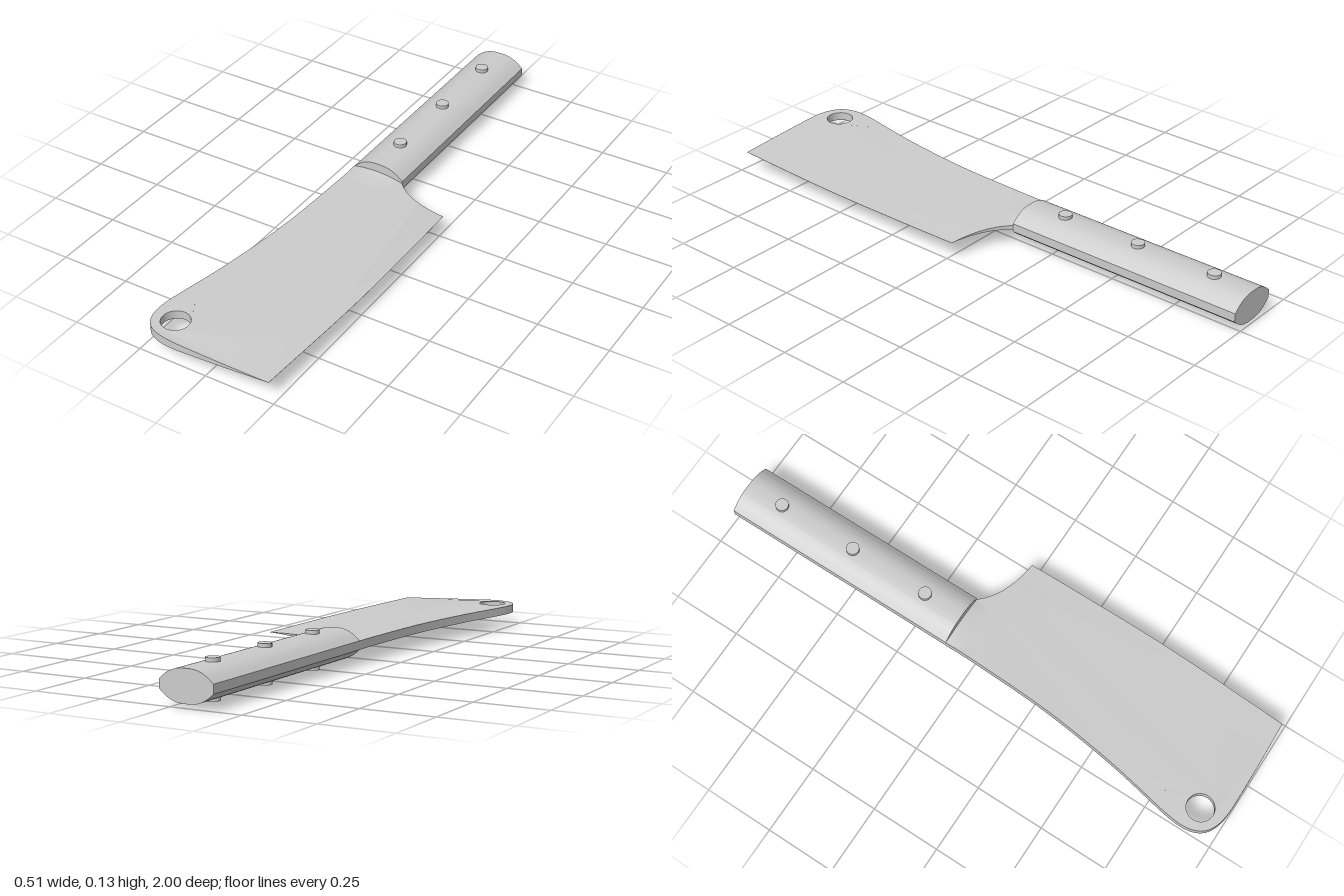
import * as THREE from 'three';
import { toCreasedNormals } from 'three/addons/utils/BufferGeometryUtils.js';

const MID = 0.067; // height of the blade's middle plane
const HANDLE_X = -0.058, HANDLE_FRONT = -0.11;

// Half thickness of the blade: full at the spine, zero at the cutting edge
function halfThickness(x, z) {
  const edge = 0.252 - 0.024 * Math.max(0, (z - 0.4) / 0.59) ** 2;
  const t = THREE.MathUtils.clamp((edge - x) / (edge + 0.15), 0, 1);
  return Math.max(0.0004, 0.015 * t);
}

// Blade outline drawn in x/z, with hanging hole, then thinned to a wedge
function bladeGeometry() {
  const s = new THREE.Shape();
  s.moveTo(0.038, HANDLE_FRONT);
  s.quadraticCurveTo(0.1, -0.035, 0.25, -0.022);
  s.splineThru([[0.252, 0.2], [0.249, 0.55], [0.228, 0.99]].map(p => new THREE.Vector2(...p)));
  s.quadraticCurveTo(0.05, 0.998, -0.1, 0.999);
  s.bezierCurveTo(-0.21, 0.999, -0.257, 0.97, -0.257, 0.88);
  s.splineThru([[-0.248, 0.81], [-0.203, 0.58], [-0.168, 0.3], [-0.155, 0], [-0.155, HANDLE_FRONT]]
    .map(p => new THREE.Vector2(...p)));
  const hole = new THREE.Path();
  hole.absarc(-0.173, 0.91, 0.048, 0, Math.PI * 2, true);
  s.holes.push(hole);

  const geo = new THREE.ExtrudeGeometry(s, { depth: 1, bevelEnabled: false, curveSegments: 16 });
  geo.rotateX(Math.PI / 2);
  const p = geo.attributes.position;
  for (let i = 0; i < p.count; i++) {
    const side = p.getY(i) > -0.5 ? 1 : -1;
    p.setY(i, MID + side * halfThickness(p.getX(i), p.getZ(i)));
  }
  return toCreasedNormals(geo, 0.5);
}

// Swelling where the blade runs into the handle, on one face
function bolsterGeometry(side) {
  const w = 0.19, d = 0.1;
  const geo = new THREE.PlaneGeometry(w, d, 14, 8);
  geo.rotateX(-Math.PI / 2);
  geo.translate(HANDLE_X, 0, HANDLE_FRONT + d / 2);
  const p = geo.attributes.position;
  for (let i = 0; i < p.count; i++) {
    const x = p.getX(i), z = p.getZ(i);
    const u = (x - HANDLE_X) / (w / 2), v = (z - HANDLE_FRONT) / d;
    const bump = 0.011 * (1 - u * u) * (1 - v) ** 2 - 0.0006;
    p.setY(i, MID + side * (halfThickness(x, z) + bump));
  }
  geo.computeVertexNormals();
  return geo;
}

// Lens-shaped handle section with narrow flat sides, swept along z
function handleGeometry() {
  const top = [[0.096, 0.015], [0.07, 0.036], [0.045, 0.048], [0.02, 0.053],
    [-0.02, 0.053], [-0.045, 0.048], [-0.07, 0.036], [-0.096, 0.015]]
    .map(p => new THREE.Vector2(...p));
  const arc = new THREE.SplineCurve(top).getPoints(24);
  const outline = [...arc, ...arc.map(p => p.clone().negate())];
  const geo = new THREE.ExtrudeGeometry(new THREE.Shape(outline),
    { depth: 1 + HANDLE_FRONT, bevelEnabled: false });
  geo.translate(HANDLE_X, MID, -1);
  return toCreasedNormals(geo, 0.45);
}

export function createModel() {
  const group = new THREE.Group();
  const grey = new THREE.MeshStandardMaterial({ color: 0xcccccc });
  const thin = new THREE.MeshStandardMaterial({ color: 0xcccccc, side: THREE.DoubleSide });
  const add = (name, geo, mat = grey) => {
    const mesh = new THREE.Mesh(geo, mat);
    mesh.name = name;
    group.add(mesh);
    return mesh;
  };

  add('blade', bladeGeometry());
  add('bolsterTop', bolsterGeometry(1), thin);
  add('bolsterBottom', bolsterGeometry(-1), thin);
  add('handle', handleGeometry());

  // Rivets pass right through the handle
  [-0.855, -0.557, -0.258].forEach((z, i) => {
    add('rivet' + (i + 1), new THREE.CylinderGeometry(0.023, 0.023, 0.133, 20))
      .position.set(HANDLE_X, 0.0665, z);
  });
  return group;
}
